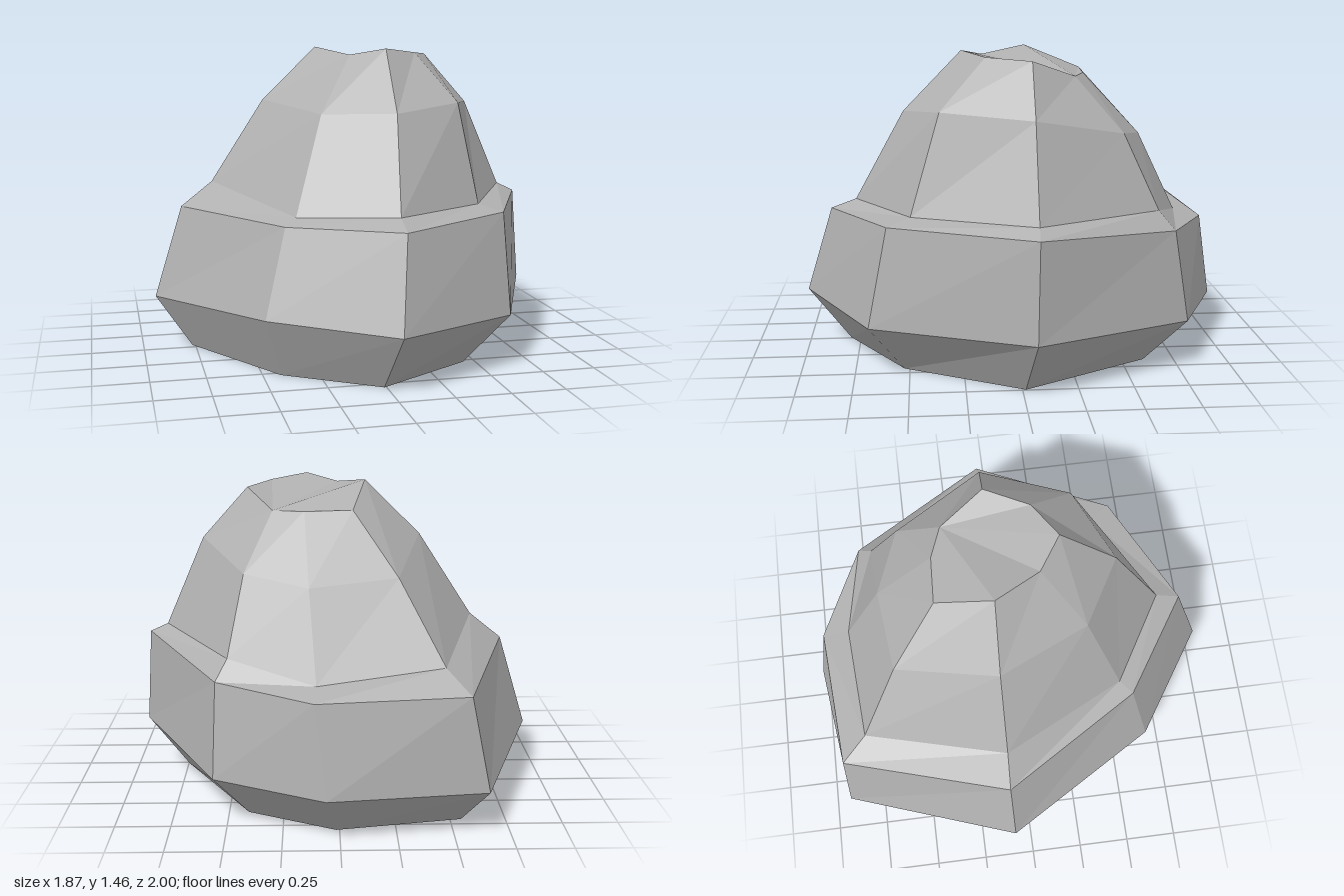
import * as THREE from 'three';

// Eight-cornered cross-sections, each corner [x, y, z], running from +x towards +z
const foot = [[0.745, 0, -0.015], [0.445, 0, 0.525], [-0.01, 0, 0.8], [-0.42, 0, 0.53],
  [-0.765, 0, -0.035], [-0.55, 0, -0.7], [0.015, 0, -0.8], [0.41, 0, -0.605]];
const belly = [[0.935, 0.265, -0.05], [0.615, 0.255, 0.68], [0.02, 0.27, 1], [-0.505, 0.285, 0.65],
  [-0.935, 0.245, -0.085], [-0.645, 0.215, -0.905], [0.06, 0.22, -1], [0.555, 0.235, -0.78]];
const shoulder = [[0.905, 0.715, -0.06], [0.605, 0.715, 0.59], [0.07, 0.69, 0.87], [-0.4, 0.68, 0.56],
  [-0.8, 0.685, -0.095], [-0.56, 0.64, -0.88], [0.11, 0.63, -0.93], [0.54, 0.66, -0.715]];
const ledgeTop = [[0.82, 0.755, -0.065], [0.52, 0.74, 0.485], [0.075, 0.735, 0.75], [-0.34, 0.71, 0.5],
  [-0.65, 0.805, -0.09], [-0.46, 0.73, -0.755], [0.1, 0.665, -0.8], [0.49, 0.745, -0.645]];
const waist = [[0.635, 1.18, -0.065], [0.46, 1.2, 0.35], [0.12, 1.165, 0.515], [-0.19, 1.155, 0.335],
  [-0.395, 1.2, -0.09], [-0.265, 1.085, -0.565], [0.13, 1.05, -0.61], [0.42, 1.09, -0.49]];
const summit = [[0.42, 1.42, -0.07], [0.31, 1.43, 0.135], [0.14, 1.45, 0.24], [-0.01, 1.42, 0.135],
  [-0.135, 1.455, -0.08], [-0.07, 1.35, -0.345], [0.15, 1.343, -0.335], [0.295, 1.34, -0.28]];

// Skin a stack of cross-sections, optionally closing the bottom or top with a fan
function skin(rings, { closeBottom = false, closeTop = false } = {}) {
  const n = rings[0].length;
  const index = [];
  for (let r = 0; r < rings.length - 1; r++) {
    for (let i = 0; i < n; i++) {
      const j = (i + 1) % n;
      const a = r * n + i, b = r * n + j;
      index.push(a, a + n, b, b, a + n, b + n);
    }
  }
  const top = (rings.length - 1) * n;
  for (let i = 0; i < n - 2; i++) {
    if (closeBottom) index.push(n - 1, i, i + 1);
    if (closeTop) index.push(top + n - 1, top + i + 1, top + i);
  }
  const indexed = new THREE.BufferGeometry();
  indexed.setAttribute('position', new THREE.Float32BufferAttribute(rings.flat(2), 3));
  indexed.setIndex(index);
  const geometry = indexed.toNonIndexed();
  geometry.computeVertexNormals();
  return geometry;
}

export function createModel() {
  const stone = new THREE.MeshStandardMaterial({ color: 0xb0b0b0, flatShading: true });
  stone.name = 'stone grey';

  const rock = new THREE.Group();
  rock.name = 'rock';
  const add = (name, rings, caps) => {
    const mesh = new THREE.Mesh(skin(rings, caps), stone);
    mesh.name = name;
    rock.add(mesh);
  };

  add('rockBase', [foot, belly, shoulder], { closeBottom: true });
  add('rockLedge', [shoulder, ledgeTop]);
  add('rockPeak', [ledgeTop, waist, summit], { closeTop: true });
  return rock;
}
